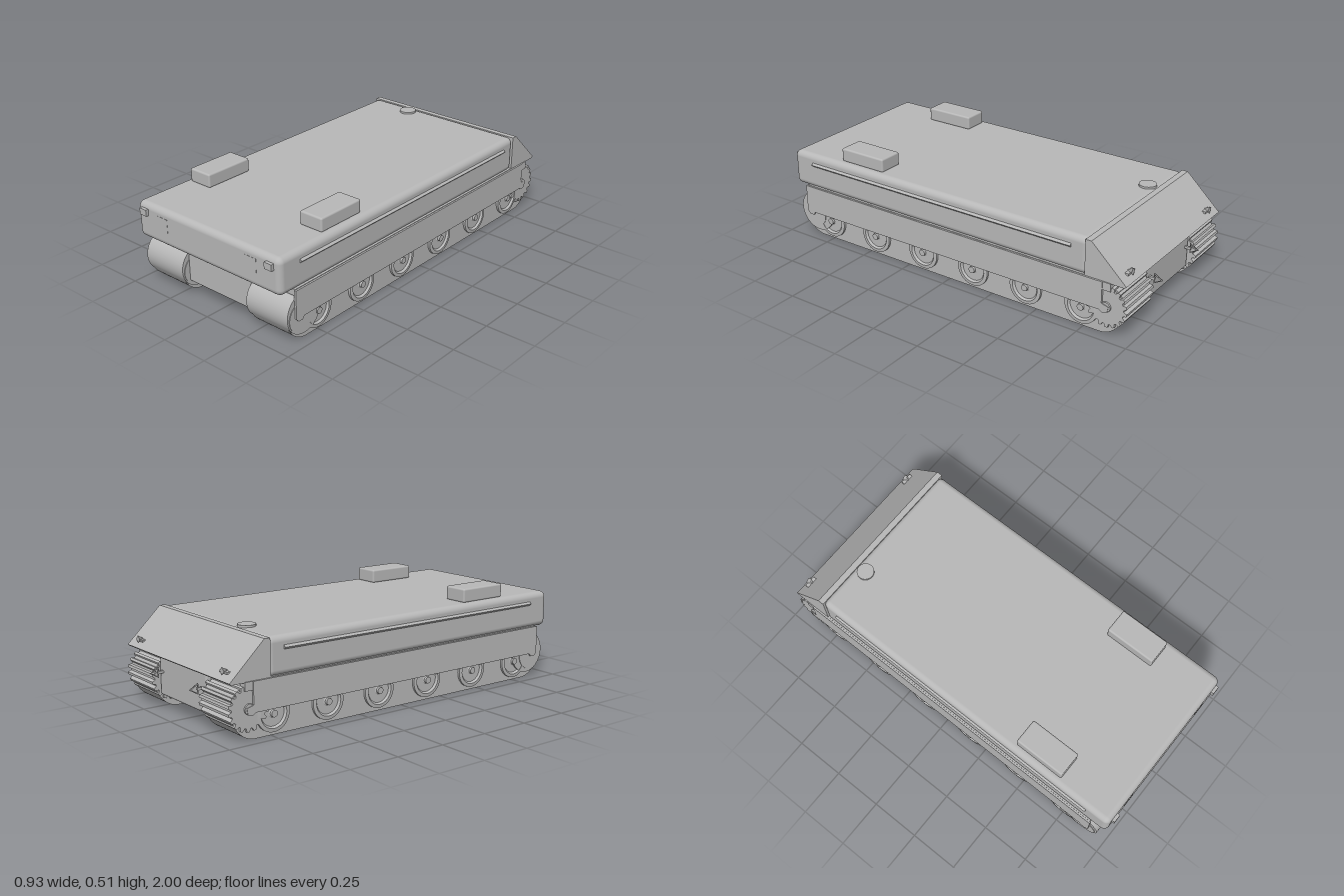
import * as THREE from 'three';
import { toCreasedNormals } from 'three/addons/utils/BufferGeometryUtils.js';
import { RoundedBoxGeometry } from 'three/addons/geometries/RoundedBoxGeometry.js';

export function createModel() {
  const model = new THREE.Group();
  model.name = 'trackedCarrier';
  const grey = new THREE.MeshStandardMaterial({ color: 0xb8b8b8 });
  grey.name = 'plain grey';

  function add(name, geometry, x = 0, y = 0, z = 0, parent = model) {
    const mesh = new THREE.Mesh(geometry, grey);
    mesh.name = name;
    mesh.position.set(x, y, z);
    parent.add(mesh);
    return mesh;
  }

  // Boxes are given by their limits on each axis
  function box(name, [x0, x1], [y0, y1], [z0, z1], radius = 0, parent = model) {
    const size = [x1 - x0, y1 - y0, z1 - z0];
    const geometry = radius ? new RoundedBoxGeometry(...size, 4, radius) : new THREE.BoxGeometry(...size);
    return add(name, geometry, (x0 + x1) / 2, (y0 + y1) / 2, (z0 + z1) / 2, parent);
  }

  // Side outline drawn as (z, y), extruded from x0 to x1
  function sideProfile(shape, x0, x1) {
    const geometry = new THREE.ExtrudeGeometry(shape, { depth: x1 - x0, bevelEnabled: false, curveSegments: 20 });
    geometry.rotateY(-Math.PI / 2).translate(x1, 0, 0);
    return toCreasedNormals(geometry, 0.5);
  }
  const outline = (points) => new THREE.Shape(points.map(([z, y]) => new THREE.Vector2(z, y)));

  // Cylinder lying along x
  const axle = (r, width, sides = 32) => new THREE.CylinderGeometry(r, r, width, sides).rotateZ(Math.PI / 2);

  // Upper body, sloped tail and lower hull
  box('upperBody', [-0.45, 0.45], [0.258, 0.44], [-0.765, 0.985], 0.03);
  add('slopedTail', sideProfile(outline([
    [-0.755, 0.44], [-0.785, 0.44], [-0.965, 0.27], [-0.955, 0.262], [-0.755, 0.262],
  ]), -0.455, 0.455));
  box('lowerHull', [-0.21, 0.21], [0.07, 0.275], [-0.93, 0.91], 0.012);

  // Round roof hatch
  add('roofHatch', new THREE.CylinderGeometry(0.043, 0.043, 0.014, 32), -0.195, 0.443, -0.705);

  // Track outline: round front, flat bottom, rising rear
  const belt = new THREE.Shape();
  belt.moveTo(-0.87, 0.24);
  belt.lineTo(0.845, 0.24);
  belt.absarc(0.845, 0.135, 0.105, Math.PI / 2, -0.35, true);
  belt.quadraticCurveTo(0.9, 0, 0.82, 0);
  belt.lineTo(-0.83, 0);
  belt.quadraticCurveTo(-0.9, 0, -0.945, 0.085);
  belt.lineTo(-0.955, 0.15);
  belt.quadraticCurveTo(-0.95, 0.235, -0.87, 0.24);
  const beltGeometry = sideProfile(belt, 0.22, 0.44);

  // Wide toothed drive drum at the rear
  const teeth = 18;
  const drumPoints = [];
  for (let i = 0; i < teeth; i++) {
    [[0, 0.088], [0.2, 0.104], [0.55, 0.104], [0.75, 0.088]].forEach(([step, r]) => {
      const a = ((i + step) / teeth) * Math.PI * 2;
      drumPoints.push([-0.868 + r * Math.cos(a), 0.143 + r * Math.sin(a)]);
    });
  }
  const drumGeometry = sideProfile(outline(drumPoints), 0.21, 0.452);

  // Road wheel with raised rim, recessed dish and hub on both faces
  const half = [[0.085, 0.122], [0.068, 0.124], [0.06, 0.114], [0.022, 0.114], [0.016, 0.118], [0.016, 0.13], [0, 0.13]];
  const wheelProfile = [
    ...half.map(([r, h]) => [r, -h]).reverse(), ...half,
  ].map(([r, h]) => new THREE.Vector2(r, h));
  const wheelGeometry = toCreasedNormals(new THREE.LatheGeometry(wheelProfile, 36).rotateZ(Math.PI / 2), 0.5);

  // Skirt with a small step at each lower end
  const skirtGeometry = sideProfile(outline([
    [0.905, 0.265], [0.905, 0.125], [0.89, 0.11], [0.865, 0.11], [0.855, 0.125],
    [-0.84, 0.125], [-0.855, 0.115], [-0.88, 0.12], [-0.885, 0.15], [-0.85, 0.16], [-0.85, 0.265],
  ]), 0.453, 0.464);

  // Diamond section side rail
  const railGeometry = new THREE.BoxGeometry(0.014, 0.014, 1.54).rotateZ(Math.PI / 4);

  for (const side of [-1, 1]) {
    const label = side > 0 ? 'left' : 'right';
    const span = (a, b) => (side > 0 ? [a, b] : [-b, -a]);

    // Running gear
    const track = new THREE.Group();
    track.name = label + 'Track';
    model.add(track);
    const shift = side > 0 ? 0 : -0.66;
    add('trackBelt', beltGeometry, shift, 0, 0, track);
    add('driveDrum', drumGeometry, shift - (side > 0 ? 0 : 0.002), 0, 0, track);
    add('frontIdler', axle(0.1055, 0.246, 48), side * 0.33, 0.135, 0.845, track);
    add('idlerHub', axle(0.075, 0.252), side * 0.33, 0.12, 0.865, track);
    add('driveHub', axle(0.025, 0.262, 24), side * 0.33, 0.143, -0.868, track);
    for (let i = 0; i < 6; i++) {
      add('roadWheel', wheelGeometry, side * 0.33, 0.1, 0.752 - i * 0.2985, track);
    }
    box('trackGuard', span(0.24, 0.455), [0.235, 0.268], [-0.85, 0.9], 0, track);
    box('rearGuardTab', span(0.42, 0.46), [0.225, 0.265], [-0.89, -0.85], 0, track);
    add('sideSkirt', skirtGeometry, side > 0 ? 0 : -0.917, 0, 0, track);

    // Roof box, rail and front fittings
    box(label + 'RoofBox', span(0.287, 0.415), [0.438, 0.507], [0.423, 0.685], 0.009);
    add(label + 'SideRail', railGeometry, side * 0.45, 0.387, 0.09);
    box(label + 'Headlamp', span(0.374, 0.417), [0.382, 0.414], [0.97, 1]);
    box(label + 'FrontPanel', span(0.248, 0.313), [0.334, 0.4], [0.978, 0.986]);

    // Rear lamp set on the slope
    const lamp = new THREE.Group();
    lamp.name = label + 'RearLamp';
    lamp.position.set(side * 0.375, 0.302, -0.932);
    model.add(lamp);
    box('lampBracket', [-0.03, 0.03], [-0.005, 0.005], [-0.012, 0.012], 0, lamp);
    add('lampBody', new THREE.ConeGeometry(0.018, 0.03, 4).rotateX(Math.PI / 2), 0, 0.006, -0.004, lamp);

    // Triangular towing eye on the hull rear
    add(label + 'TowEye', new THREE.TorusGeometry(0.026, 0.005, 6, 3).rotateY(Math.PI / 2), side * 0.178, 0.187, -0.969);
    box(label + 'TowShank', span(0.172, 0.184), [0.181, 0.193], [-0.96, -0.925]);
  }
  return model;
}
